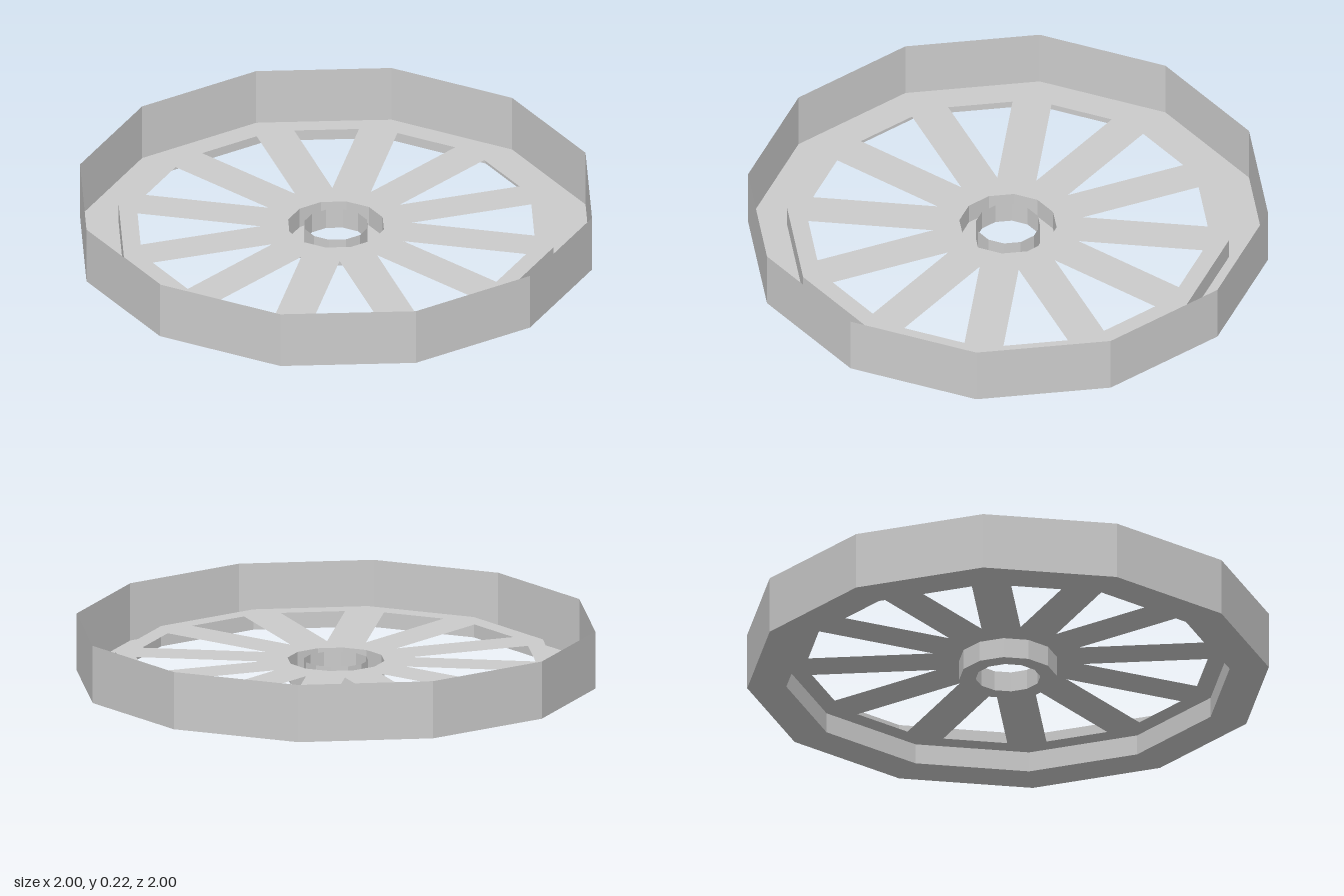
import * as THREE from 'three';

const SIDES = 12;
const STEP = (Math.PI * 2) / SIDES;
const HEIGHT = 0.225;      // outer wall
const PLATE_Y = 0.08;      // spoke plate level
const RIM_R = 0.85;
const HUB_R = 0.187;
const BORE_R = 0.124;
const SPOKE_HALF = 0.075;
const WINDOW_R = 0.779;    // corner radius of the polygon bounding the windows

const material = new THREE.MeshStandardMaterial({
  color: 0xcccccc, flatShading: true, side: THREE.DoubleSide,
});

function polygon(radius) {
  return Array.from({ length: SIDES }, (_, i) =>
    new THREE.Vector2(radius * Math.sin(i * STEP), radius * Math.cos(i * STEP)));
}

// Thin twelve-sided sheet folded along a profile of [radius, y] points
function foldedRing(name, profile) {
  const points = profile.map(([r, y]) => new THREE.Vector2(r, y));
  const mesh = new THREE.Mesh(new THREE.LatheGeometry(points, SIDES), material);
  mesh.name = name;
  return mesh;
}

// Flat plate: windows between neighbouring spokes leave parallel-sided spokes
function spokePlate() {
  const shape = new THREE.Shape(polygon(RIM_R));
  shape.holes.push(new THREE.Path(polygon(HUB_R)));

  const half = STEP / 2;
  const apothem = WINDOW_R * Math.cos(half);
  const tip = SPOKE_HALF / Math.sin(half);
  const spread = (apothem - tip) * Math.tan(half);
  const corners = [[0, tip], [spread, apothem], [-spread, apothem]];
  for (let i = 0; i < SIDES; i++) {
    const a = (i + 0.5) * STEP;
    shape.holes.push(new THREE.Path(corners.map(([x, y]) =>
      new THREE.Vector2(x, y).rotateAround(new THREE.Vector2(), a))));
  }

  const geometry = new THREE.ShapeGeometry(shape);
  geometry.rotateX(-Math.PI / 2);
  const mesh = new THREE.Mesh(geometry, material);
  mesh.name = 'spokePlate';
  mesh.position.y = PLATE_Y;
  return mesh;
}

export function createModel() {
  const wheel = new THREE.Group();
  wheel.name = 'wheel';
  // Outer wall, flat bottom flange and the step up to the spokes
  wheel.add(foldedRing('rim', [[1, HEIGHT], [1, 0], [RIM_R, 0], [RIM_R, PLATE_Y]]));
  wheel.add(spokePlate());
  // Channel-shaped hub around the open bore
  wheel.add(foldedRing('hub', [[HUB_R, PLATE_Y], [HUB_R, 0], [BORE_R, 0], [BORE_R, PLATE_Y]]));
  return wheel;
}
